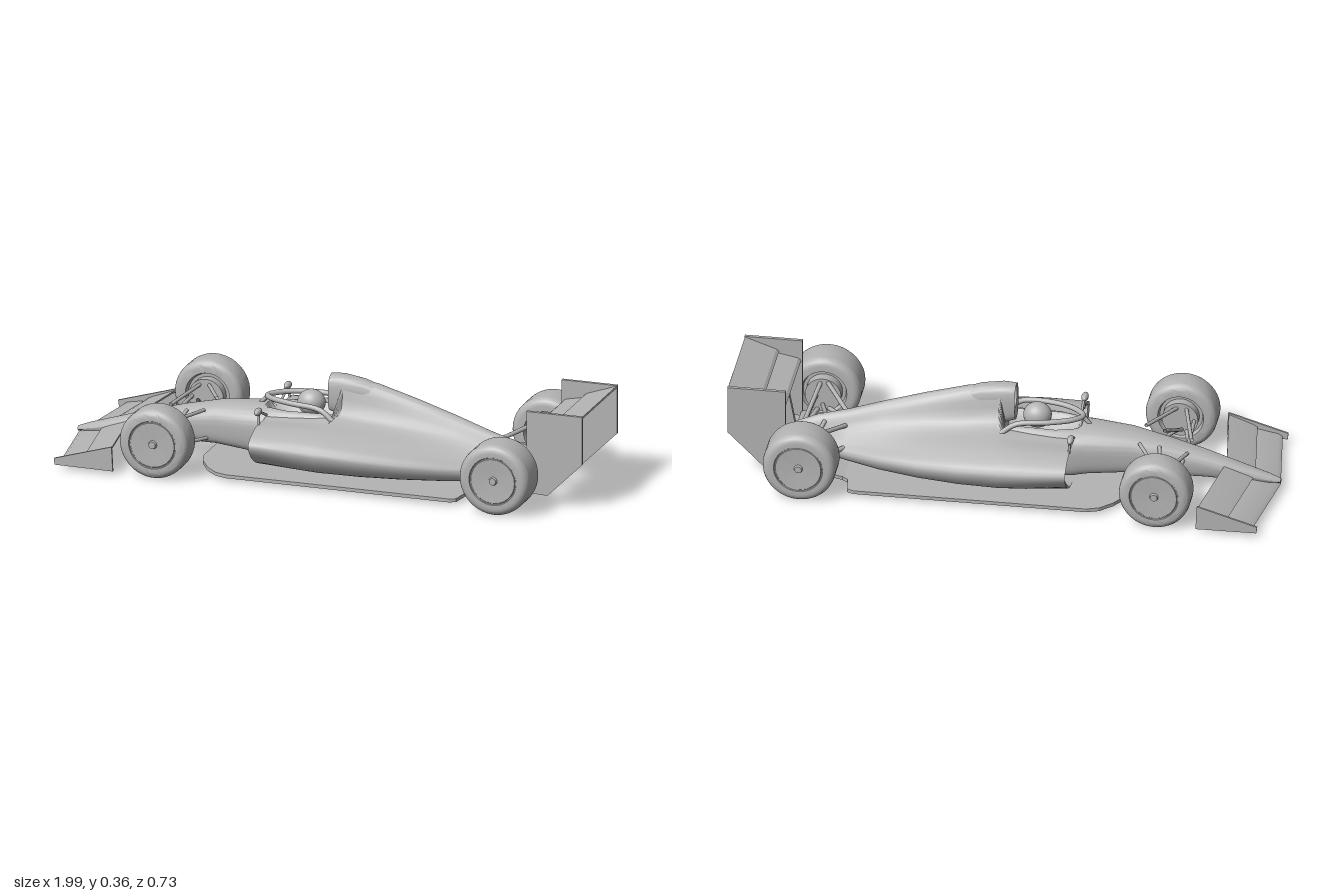
import * as THREE from 'three';
import { toCreasedNormals } from 'three/addons/utils/BufferGeometryUtils.js';

const grey = new THREE.MeshStandardMaterial({ color: 0xb4b4b4, side: THREE.DoubleSide });
grey.name = 'plain grey';
const V = (x, y, z) => new THREE.Vector3(x, y, z);

export function createModel() {
  const root = new THREE.Group();
  root.name = 'openWheelRacingCar';

  const add = (name, geo, parent = root) => {
    const mesh = new THREE.Mesh(geo, grey);
    mesh.name = name;
    parent.add(mesh);
    return mesh;
  };

  // Skin through a row of closed rings, capped at both ends
  const loft = (rings, crease = 0.7) => {
    const n = rings[0].length, pos = [], idx = [];
    rings.forEach(r => r.forEach(p => pos.push(p.x, p.y, p.z)));
    for (let i = 0; i < rings.length - 1; i++) {
      for (let j = 0; j < n; j++) {
        const a = i * n + j, b = i * n + (j + 1) % n;
        idx.push(a, b, a + n, b, b + n, a + n);
      }
    }
    [0, rings.length - 1].forEach((i, end) => {
      const mid = rings[i].reduce((s, p) => s.add(p), V(0, 0, 0)).divideScalar(n);
      const m = pos.length / 3;
      pos.push(mid.x, mid.y, mid.z);
      for (let j = 0; j < n; j++) {
        const a = i * n + j, b = i * n + (j + 1) % n;
        if (end) idx.push(m, a, b); else idx.push(m, b, a);
      }
    });
    const geo = new THREE.BufferGeometry();
    geo.setAttribute('position', new THREE.Float32BufferAttribute(pos, 3));
    geo.setIndex(idx);
    return toCreasedNormals(geo, crease);
  };

  // Smooth symmetric ring at x from half a section of [z, y] points
  const ring = (x, half) => {
    const pts = half.map(([z, y]) => V(x, y, z));
    const back = half.slice(1, -1).reverse().map(([z, y]) => V(x, y, -z));
    const curve = new THREE.CatmullRomCurve3([...pts, ...back], true);
    return curve.getPoints(64).slice(0, 64);
  };

  // Rounded rod between two points
  const rod = (name, a, b, r = 0.007) =>
    add(name, new THREE.TubeGeometry(new THREE.LineCurve3(V(...a), V(...b)), 1, r, 8));

  // Flat panel drawn in x, y and extruded along z
  const panel = (name, pts, z, depth) => {
    const shape = new THREE.Shape(pts.map(p => new THREE.Vector2(...p)));
    const geo = new THREE.ExtrudeGeometry(shape, { depth, bevelEnabled: false });
    geo.translate(0, 0, z);
    return add(name, geo);
  };

  // Nose and cockpit tub: x, centre height, rim height, rim fraction, half width, bottom
  const tub = [
    [-0.995, 0.05, 0.047, 0.6, 0.012, 0.03], [-0.95, 0.068, 0.062, 0.6, 0.024, 0.03],
    [-0.72, 0.14, 0.132, 0.6, 0.046, 0.045], [-0.59, 0.175, 0.165, 0.6, 0.062, 0.05],
    [-0.45, 0.206, 0.195, 0.6, 0.08, 0.055], [-0.3, 0.218, 0.208, 0.55, 0.1, 0.045],
    [-0.27, 0.218, 0.212, 0.45, 0.103, 0.04], [-0.245, 0.16, 0.213, 0.45, 0.105, 0.035],
    [-0.18, 0.13, 0.215, 0.65, 0.108, 0.03], [-0.03, 0.13, 0.218, 0.65, 0.106, 0.03],
    [0.03, 0.2, 0.215, 0.65, 0.1, 0.03],
  ].map(([x, c, t, f, w, b]) => ring(x, [[0, c], [w * f, t], [w * 0.92, b + (t - b) * 0.8],
    [w, b + (t - b) * 0.5], [w * 0.82, b + 0.01], [0, b]]));
  add('noseAndCockpitTub', loft(tub));

  // Side pods and engine cover, starting with the recessed inlets:
  // x, centre y, ridge z, ridge y, neck z, neck y, pod half width, shoulder y, widest y, bottom y
  const body = [
    [-0.2, 0.12, 0.07, 0.17, 0.1, 0.165, 0.26, 0.16, 0.135, 0.105],
    [-0.245, 0.12, 0.07, 0.17, 0.1, 0.168, 0.27, 0.168, 0.136, 0.1],
    [-0.25, 0.13, 0.08, 0.19, 0.11, 0.186, 0.283, 0.183, 0.14, 0.085],
    [-0.1, 0.13, 0.085, 0.2, 0.12, 0.195, 0.288, 0.186, 0.135, 0.068],
    [0.0, 0.15, 0.08, 0.21, 0.12, 0.2, 0.286, 0.184, 0.13, 0.06],
    [0.03, 0.35, 0.032, 0.335, 0.072, 0.225, 0.284, 0.18, 0.13, 0.06],
    [0.15, 0.332, 0.028, 0.315, 0.07, 0.215, 0.268, 0.17, 0.12, 0.055],
    [0.3, 0.29, 0.025, 0.275, 0.065, 0.2, 0.232, 0.15, 0.105, 0.05],
    [0.45, 0.243, 0.022, 0.23, 0.055, 0.18, 0.178, 0.125, 0.09, 0.045],
    [0.58, 0.198, 0.02, 0.187, 0.04, 0.15, 0.115, 0.1, 0.075, 0.042],
    [0.7, 0.165, 0.014, 0.155, 0.028, 0.125, 0.05, 0.09, 0.07, 0.045],
    [0.78, 0.13, 0.012, 0.12, 0.02, 0.11, 0.028, 0.088, 0.075, 0.06],
  ].map(([x, c, tz, ty, nz, ny, w, s, m, b]) => ring(x, [[0, c], [tz, ty], [nz, ny],
    [w * 0.72, s], [w, m], [w * 0.88, b], [w * 0.55, Math.min(b, 0.035)], [0, 0.03]]));
  add('sidePodsAndEngineCover', loft(body));

  // Air intake above the driver, with a hollow mouth: x, top, half width, bottom
  const intake = [[0.02, 0.34, 0.026, 0.265], [-0.024, 0.347, 0.034, 0.26], [-0.028, 0.354, 0.042, 0.215],
    [0.02, 0.356, 0.045, 0.2], [0.1, 0.344, 0.042, 0.2], [0.2, 0.31, 0.03, 0.2],
  ].map(([x, t, w, b]) => ring(x, [[0, t], [w * 0.75, t - 0.014], [w, (t + b) / 2], [w * 0.75, b + 0.012], [0, b]]));
  add('airIntake', loft(intake));

  // Driver and protective hoop
  const helmet = add('helmet', new THREE.SphereGeometry(0.048, 32, 20));
  helmet.scale.set(1.08, 1, 0.95);
  helmet.position.set(-0.105, 0.235, 0);
  const hoopHalf = [[0.015, 0.2, 0.1], [-0.04, 0.238, 0.092], [-0.16, 0.247, 0.075], [-0.24, 0.246, 0.04]];
  const hoop = new THREE.CatmullRomCurve3([...hoopHalf.map(p => V(...p)), V(-0.272, 0.244, 0),
    ...hoopHalf.slice().reverse().map(([x, y, z]) => V(x, y, -z))]);
  add('cockpitHoop', new THREE.TubeGeometry(hoop, 60, 0.01, 10));
  rod('hoopPillar', [-0.268, 0.245, 0], [-0.305, 0.205, 0], 0.008);

  // Floor with narrowed tail
  const edge = [[-0.48, 0.11], [-0.46, 0.17], [-0.42, 0.235], [-0.375, 0.28], [-0.33, 0.296],
    [0.52, 0.296], [0.545, 0.285], [0.555, 0.215], [0.575, 0.2]];
  const floorShape = new THREE.Shape([...edge, ...edge.slice().reverse().map(([x, z]) => [x, -z])]
    .map(p => new THREE.Vector2(...p)));
  const floor = new THREE.ExtrudeGeometry(floorShape, { depth: 0.013, bevelEnabled: false });
  floor.rotateX(Math.PI / 2).translate(0, 0.026, 0);
  add('floor', floor);
  panel('diffuser', [[0.57, 0.013], [0.79, 0.055], [0.79, 0.066], [0.57, 0.026]], -0.2, 0.4);
  add('gearboxEnd', new THREE.CylinderGeometry(0.026, 0.03, 0.07, 20).rotateZ(-Math.PI / 2).translate(0.765, 0.09, 0));

  // Swept front wing elements: [x, y] sections at the tips, moved forward in the middle
  const sweptWing = (name, section) => add(name, loft([-0.355, 0, 0.355].map(z =>
    section.map(([x, y]) => V(x - (z === 0 ? 0.05 : 0), y, z))), 0.5));
  sweptWing('frontWingMainPlane', [[-0.944, 0.026], [-0.93, 0.036], [-0.842, 0.052], [-0.842, 0.047], [-0.93, 0.024]]);
  sweptWing('frontWingFlap', [[-0.852, 0.058], [-0.835, 0.067], [-0.747, 0.1], [-0.746, 0.094], [-0.835, 0.056]]);

  // Rear wing elements and pylon
  panel('rearWingMainPlane', [[0.79, 0.276], [0.8, 0.285], [0.885, 0.302], [0.885, 0.297], [0.8, 0.272]], -0.19, 0.38);
  panel('rearWingFlap', [[0.87, 0.306], [0.88, 0.315], [0.995, 0.355], [0.997, 0.349], [0.88, 0.303]], -0.19, 0.38);
  panel('rearWingPylon', [[0.77, 0.07], [0.82, 0.07], [0.89, 0.29], [0.81, 0.285]], -0.01, 0.02);

  // Wheel: tyre with grooved cover, hub nut and inner brake drum
  const wheel = (name, x, s, radius, width, drum) => {
    const g = new THREE.Group();
    g.name = name;
    const h = width / 2, c = 0.028, pts = [[0, -h + 0.02], [0.078, -h + 0.02], [0.084, -h]];
    const corner = (sign, order) => order.forEach(k => {
      const a = k * Math.PI / 10;
      pts.push([radius - c + c * Math.sin(a), sign * (h - c + c * Math.cos(a))]);
    });
    corner(-1, [0, 1, 2, 3, 4, 5]);
    corner(1, [5, 4, 3, 2, 1, 0]);
    pts.push([0.09, h], [0.088, h - 0.004], [0.085, h - 0.004], [0.083, h - 0.001], [0.02, h - 0.006], [0, h - 0.006]);
    const lathe = new THREE.LatheGeometry(pts.map(p => new THREE.Vector2(...p)), 56);
    add('tyreAndCover', toCreasedNormals(lathe, 0.6), g);
    add('hubNut', new THREE.CylinderGeometry(0.013, 0.017, 0.012, 20).translate(0, h - 0.003, 0), g);
    add('brakeDrum', new THREE.CylinderGeometry(0.066, 0.066, drum, 32).translate(0, -h - drum / 2 + 0.025, 0), g);
    g.rotation.x = s * Math.PI / 2;
    g.position.set(x, radius, s * (0.363 - h));
    root.add(g);
  };

  // Everything that repeats on both flanks
  for (const s of [1, -1]) {
    wheel('frontWheel', -0.588, s, 0.131, 0.118, 0.04);
    wheel('rearWheel', 0.712, s, 0.133, 0.143, 0.045);

    panel('frontWingEndPlate', [[-0.962, 0.016], [-0.965, 0.04], [-0.745, 0.106], [-0.74, 0.014]], s * 0.355 - 0.004, 0.008);
    panel('rearWingEndPlate', [[0.785, 0.05], [0.785, 0.357], [0.997, 0.357], [0.997, 0.175], [0.865, 0.045]],
      s * 0.194 - 0.0065, 0.013);

    // Front suspension
    [[[-0.66, 0.15, 0.05], [-0.61, 0.175, 0.24]], [[-0.49, 0.185, 0.07], [-0.58, 0.175, 0.24]],
      [[-0.66, 0.075, 0.045], [-0.61, 0.085, 0.24]], [[-0.48, 0.08, 0.07], [-0.58, 0.085, 0.24]],
      [[-0.56, 0.175, 0.06], [-0.595, 0.09, 0.23]], [[-0.645, 0.12, 0.05], [-0.64, 0.13, 0.24]],
    ].forEach(([a, b]) => rod('frontSuspensionArm', [a[0], a[1], s * a[2]], [b[0], b[1], s * b[2]]));

    // Rear suspension
    [[[0.59, 0.15, 0.04], [0.7, 0.185, 0.215]], [[0.755, 0.11, 0.02], [0.72, 0.185, 0.215]],
      [[0.59, 0.085, 0.09], [0.7, 0.08, 0.215]], [[0.765, 0.072, 0.02], [0.73, 0.075, 0.215]],
      [[0.67, 0.15, 0.02], [0.715, 0.09, 0.21]], [[0.76, 0.095, 0.02], [0.735, 0.133, 0.22]],
    ].forEach(([a, b]) => rod('rearSuspensionArm', [a[0], a[1], s * a[2]], [b[0], b[1], s * b[2]], 0.0085));

    // Mirrors on stalks
    const mirror = add('mirror', new THREE.SphereGeometry(1, 20, 14));
    mirror.scale.set(0.013, 0.014, 0.026);
    mirror.position.set(-0.252, 0.232, s * 0.164);
    rod('mirrorStalk', [-0.25, 0.195, s * 0.08], [-0.25, 0.228, s * 0.15], 0.005);
    rod('mirrorPost', [-0.247, 0.18, s * 0.17], [-0.25, 0.23, s * 0.166], 0.005);
  }
  return root;
}
